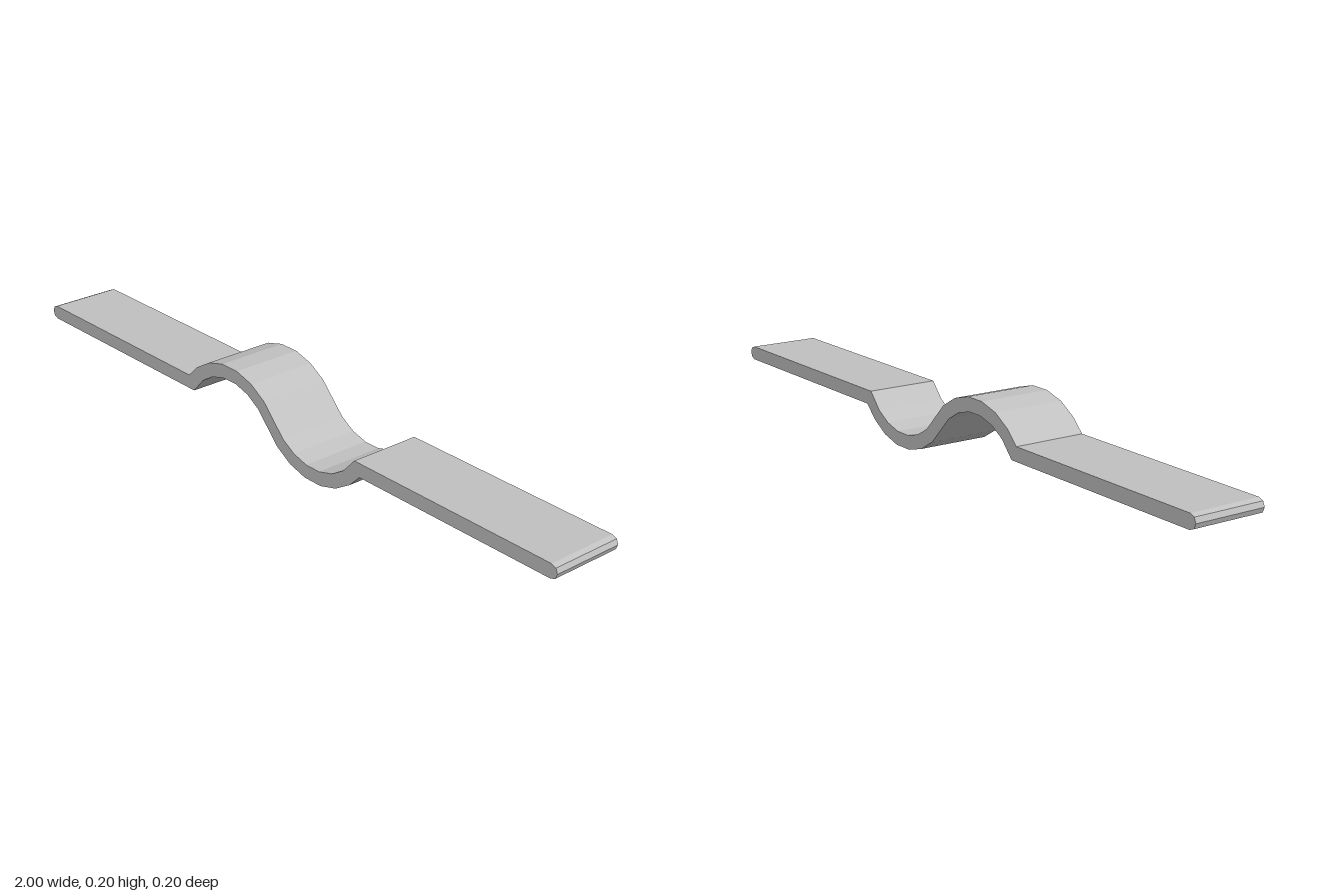
import * as THREE from 'three';

const MID = 0.102;        // height of the strip's centre line
const HALF_T = 0.0195;    // half thickness
const WIDTH = 0.204;
const SPAN = 1 / 3;       // length of each bend along x
const ANGLE = THREE.MathUtils.degToRad(53.8); // half angle of each bend
const SEGMENTS = 7;

// Upper edge from left to right, relative to the strip's centre
function upperEdge() {
  const points = [];
  const radius = SPAN / 2 / Math.sin(ANGLE);
  const drop = radius * Math.cos(ANGLE);
  const mitre = HALF_T * Math.tan(ANGLE / 2);

  // upper quarter of the left rounded end
  for (let i = 0; i <= 2; i++) {
    const a = Math.PI - (i * Math.PI) / 4;
    points.push([-1 + HALF_T + HALF_T * Math.cos(a), HALF_T * Math.sin(a)]);
  }
  // mitred corner, then the outside of the raised bend
  points.push([-SPAN - mitre, HALF_T]);
  for (let i = 1; i <= SEGMENTS; i++) {
    const a = -ANGLE + (2 * ANGLE * i) / SEGMENTS;
    const r = radius + HALF_T;
    points.push([-SPAN / 2 + r * Math.sin(a), -drop + r * Math.cos(a)]);
  }
  // inside of the sunken bend, up to the second mitred corner
  for (let i = 1; i < SEGMENTS; i++) {
    const a = -ANGLE + (2 * ANGLE * i) / SEGMENTS;
    const r = radius - HALF_T;
    points.push([SPAN / 2 + r * Math.sin(a), drop - r * Math.cos(a)]);
  }
  points.push([SPAN - mitre, HALF_T]);
  // upper quarter of the right rounded end
  for (let i = 0; i < 2; i++) {
    const a = Math.PI / 2 - (i * Math.PI) / 4;
    points.push([1 - HALF_T + HALF_T * Math.cos(a), HALF_T * Math.sin(a)]);
  }
  return points;
}

export function createModel() {
  const metal = new THREE.MeshStandardMaterial({ color: 0xc0c0c0 });
  metal.name = 'light grey metal';

  // The lower edge is the upper edge turned half way round
  const upper = upperEdge();
  const outline = [...upper, ...upper.map(([x, y]) => [-x, -y])];
  const shape = new THREE.Shape(outline.map(([x, y]) => new THREE.Vector2(x, y)));

  const geometry = new THREE.ExtrudeGeometry(shape, { depth: WIDTH, bevelEnabled: false });
  geometry.translate(0, MID, -WIDTH / 2);

  const strip = new THREE.Mesh(geometry, metal);
  strip.name = 'bentStrip';

  const model = new THREE.Group();
  model.name = 'waveStrip';
  model.add(strip);
  return model;
}
